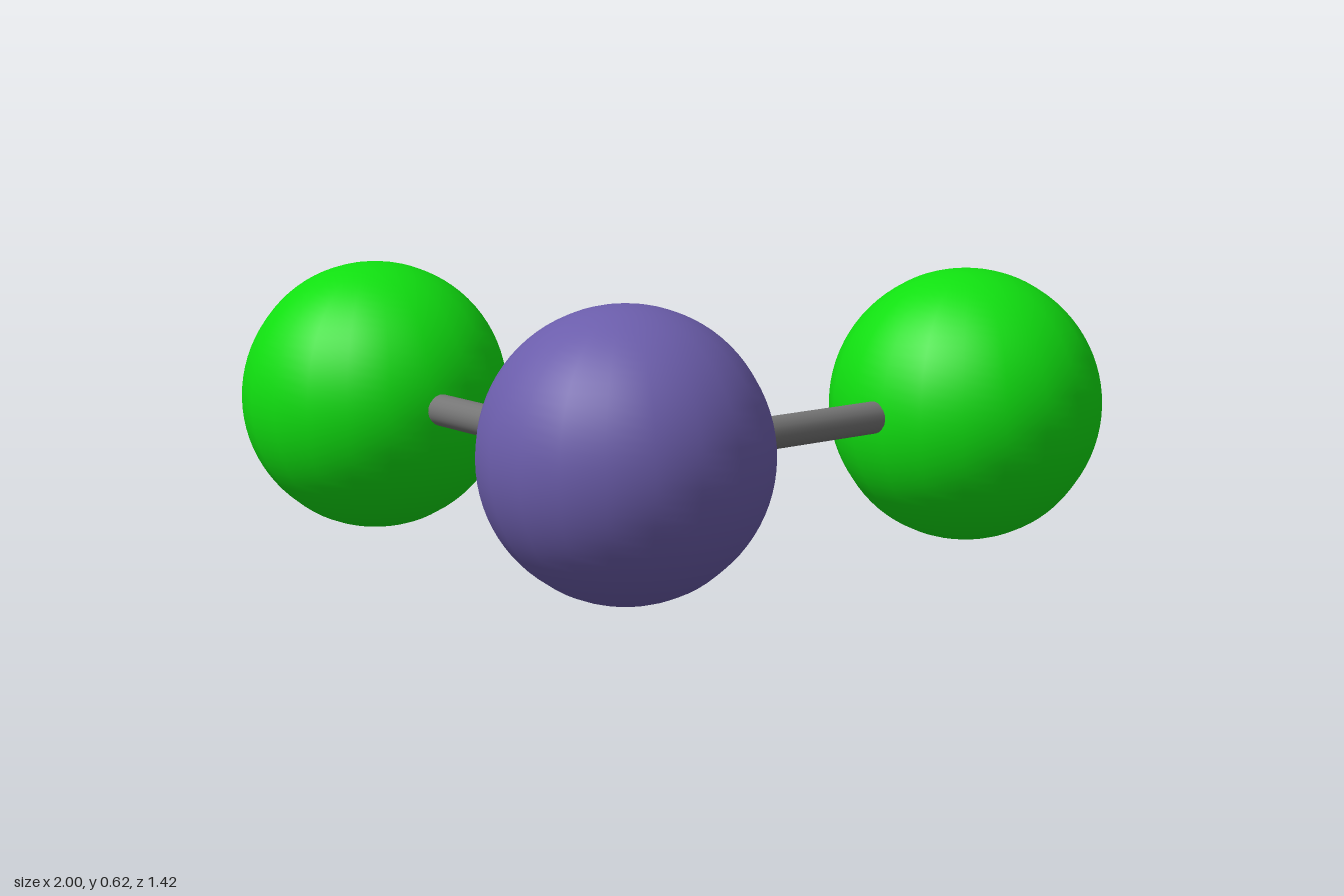
import * as THREE from 'three';

const RADIUS = 0.312;
const ROD_RADIUS = 0.036;
const Y = 0.316;

export function createModel() {
  const model = new THREE.Group();
  const ballGeometry = new THREE.SphereGeometry(RADIUS, 20, 40);
  const purple = new THREE.MeshStandardMaterial({ color: 0x6b5dab });
  const green = new THREE.MeshStandardMaterial({ color: 0x10e010 });
  const grey = new THREE.MeshStandardMaterial({ color: 0x757575 });

  function addBall(name, position, material) {
    const ball = new THREE.Mesh(ballGeometry, material);
    ball.name = name;
    ball.position.copy(position);
    model.add(ball);
  }

  // Rod running between the centres of two balls
  function addRod(name, a, b) {
    const span = new THREE.Vector3().subVectors(b, a);
    const rod = new THREE.Mesh(new THREE.CylinderGeometry(ROD_RADIUS, ROD_RADIUS, span.length(), 20), grey);
    rod.name = name;
    rod.position.addVectors(a, b).multiplyScalar(0.5);
    rod.quaternion.setFromUnitVectors(new THREE.Vector3(0, 1, 0), span.normalize());
    model.add(rod);
  }

  // Central ball at the front
  const centre = new THREE.Vector3(0, Y, 0.4);
  addBall('centralBall', centre, purple);

  // Mirrored outer balls and their rods
  for (const [side, s] of [['left', 1], ['right', -1]]) {
    const outer = new THREE.Vector3(s * 0.688, Y, -0.4);
    addBall(side + 'Ball', outer, green);
    addRod(side + 'Rod', centre, outer);
  }

  return model;
}
